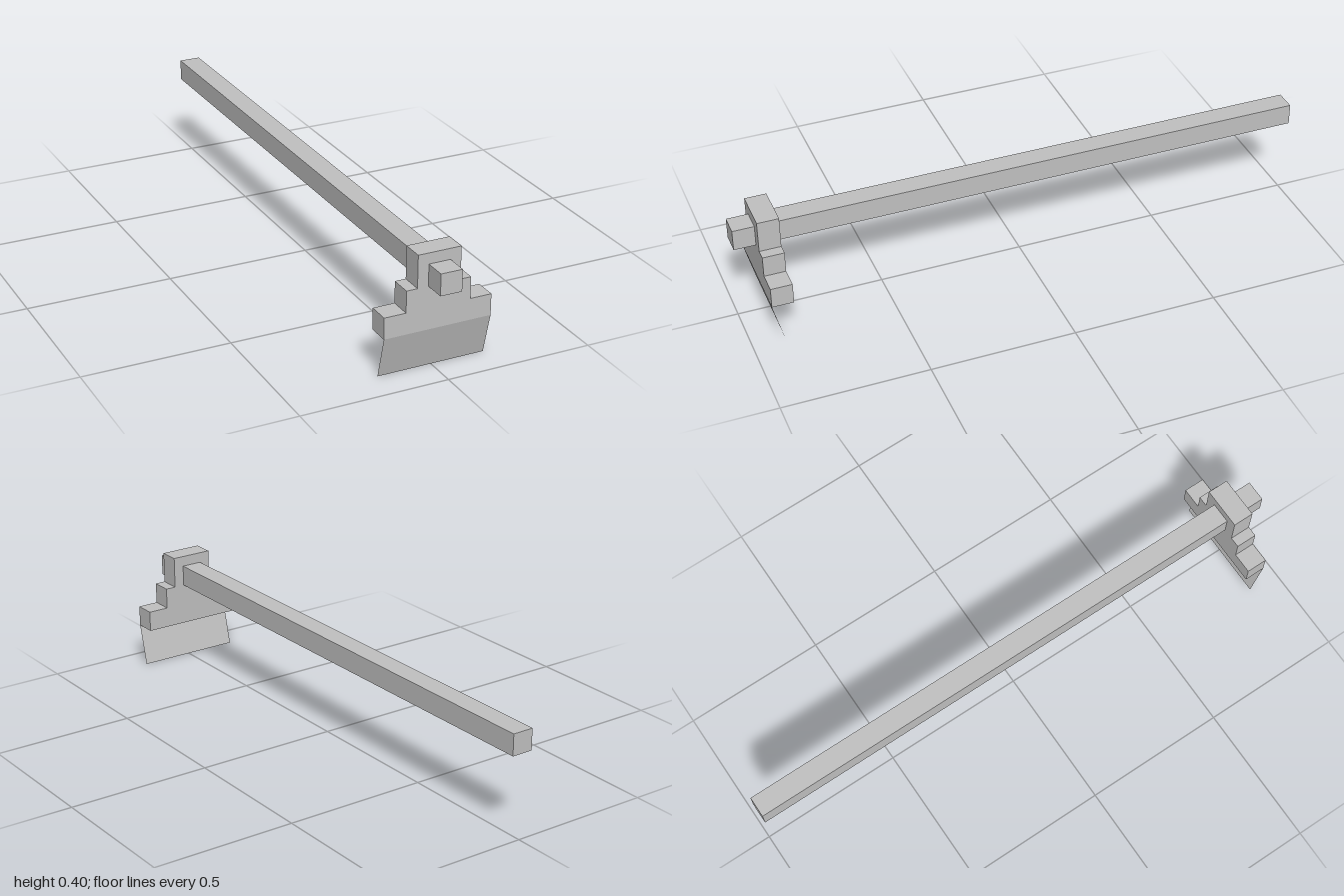
import * as THREE from 'three';

export function createModel() {
  const group = new THREE.Group();
  group.name = 'hoe';
  const grey = new THREE.MeshStandardMaterial({ color: 0xc0c0c0 });
  grey.name = 'plain grey';
  grey.side = THREE.DoubleSide;

  const add = (name, geometry, x, y, z) => {
    const mesh = new THREE.Mesh(geometry, grey);
    mesh.name = name;
    mesh.position.set(x, y, z);
    group.add(mesh);
    return mesh;
  };

  const back = 0.852, front = 0.926, bottom = 0.144;

  // Long square handle, poking out in front of the head
  add('handle', new THREE.BoxGeometry(0.074, 0.074, 2), 0, 0.328, 0);

  // Stepped head: half outline as [x, y], mirrored across x = 0
  const half = [
    [0.185, bottom], [0.185, 0.217], [0.111, 0.217],
    [0.111, 0.291], [0.074, 0.291], [0.074, 0.402],
  ];
  const outline = [...half, ...half.map(([x, y]) => [-x, y]).reverse()];
  const shape = new THREE.Shape(outline.map(([x, y]) => new THREE.Vector2(x, y)));
  add('head', new THREE.ExtrudeGeometry(shape, { depth: front - back, bevelEnabled: false }), 0, 0, back);

  // Thin blade sheet, sloping back from the head's front lower edge
  const slope = (front - back) / 2;
  const blade = add('blade', new THREE.PlaneGeometry(0.37, Math.hypot(bottom, slope)),
    0, bottom / 2, front - slope / 2);
  blade.rotation.x = Math.atan2(slope, bottom);

  return group;
}
